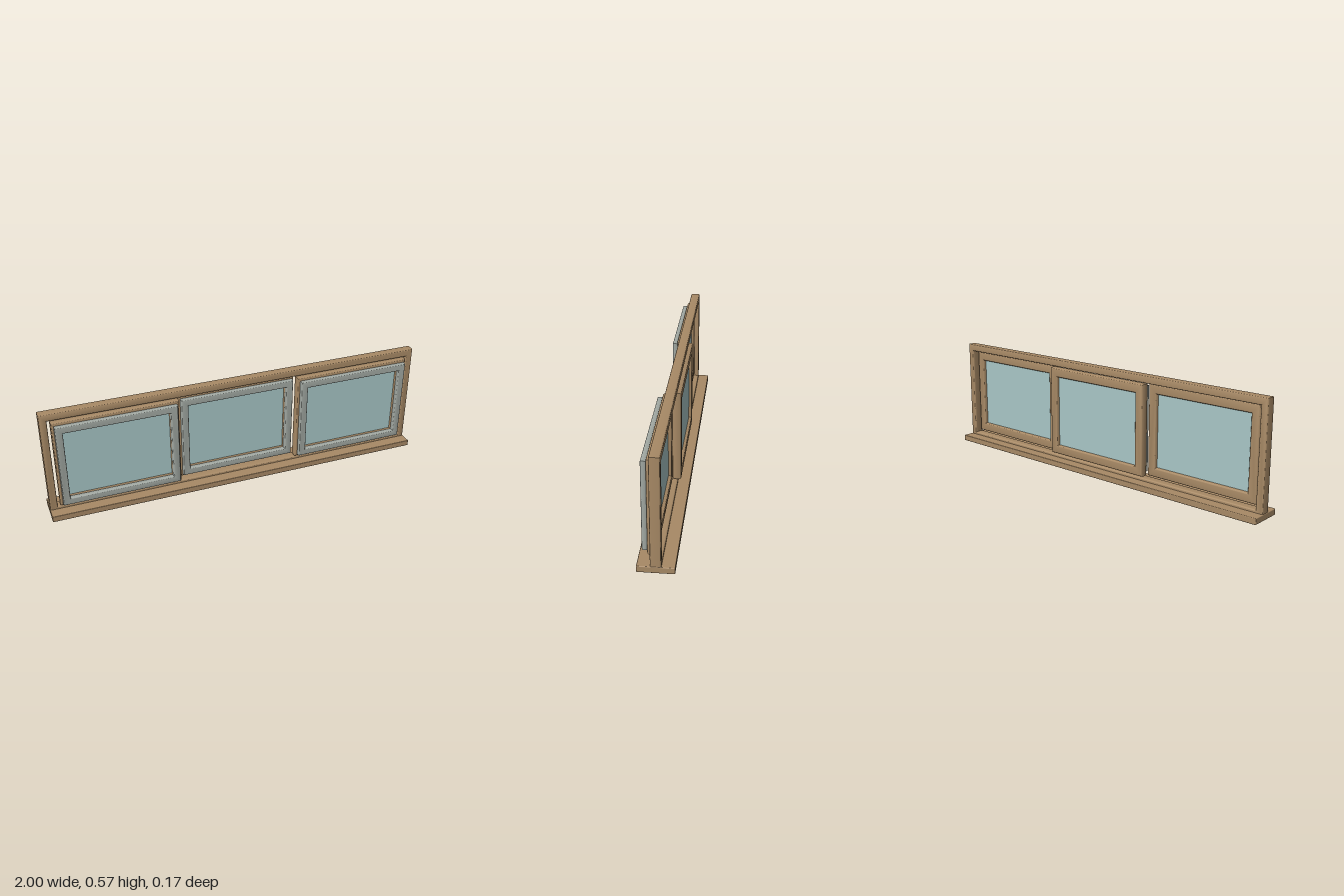
import * as THREE from 'three';
import { RoundedBoxGeometry } from 'three/addons/geometries/RoundedBoxGeometry.js';
import { toCreasedNormals } from 'three/addons/utils/BufferGeometryUtils.js';

const wood = new THREE.MeshStandardMaterial({ color: 0xa88a66 });
const trim = new THREE.MeshStandardMaterial({ color: 0xa3aaa4 });
const glass = new THREE.MeshStandardMaterial({ color: 0xa9c7c7 });

function rectangle(Path, x0, y0, x1, y1) {
  const path = new Path();
  path.moveTo(x0, y0);
  path.lineTo(x1, y0);
  path.lineTo(x1, y1);
  path.lineTo(x0, y1);
  path.closePath();
  return path;
}

// Rectangular ring with rounded edges, spanning z0..z1
function ring(name, material, halfWidth, y0, y1, bar, z0, z1, radius) {
  const shape = rectangle(THREE.Shape, -halfWidth, y0, halfWidth, y1);
  shape.holes.push(rectangle(THREE.Path, -halfWidth + bar, y0 + bar, halfWidth - bar, y1 - bar));
  const geometry = new THREE.ExtrudeGeometry(shape, {
    depth: z1 - z0 - 2 * radius,
    bevelThickness: radius,
    bevelSize: radius,
    bevelOffset: -radius,
    bevelSegments: 4,
  });
  geometry.translate(0, 0, z0 + radius);
  const mesh = new THREE.Mesh(toCreasedNormals(geometry, 0.6), material);
  mesh.name = name;
  return mesh;
}

// One sliding panel: timber sash, facing trim and pane
function createSash(name, x, z) {
  const sash = new THREE.Group();
  sash.name = name;
  sash.add(ring('sashFrame', wood, 0.314, 0.058, 0.53, 0.048, -0.022, 0.022, 0.009));
  sash.add(ring('sashTrim', trim, 0.302, 0.072, 0.516, 0.037, 0.02, 0.047, 0.006));
  const pane = new THREE.Mesh(new THREE.BoxGeometry(0.545, 0.39, 0.012), glass);
  pane.name = 'pane';
  pane.position.y = 0.294;
  sash.add(pane);
  sash.position.set(x, 0, z);
  return sash;
}

export function createModel() {
  const model = new THREE.Group();
  model.name = 'slidingWindow';

  // Sill and outer frame
  const sill = new THREE.Mesh(new RoundedBoxGeometry(2, 0.032, 0.17, 3, 0.004), wood);
  sill.name = 'sill';
  sill.position.y = 0.016;
  model.add(sill);
  model.add(ring('outerFrame', wood, 0.998, 0.008, 0.572, 0.038, -0.025, 0.025, 0.007));

  // Outer sashes run on the front track, the middle one on the back track
  model.add(createSash('rightSash', -0.633, 0.021));
  model.add(createSash('middleSash', 0, -0.021));
  model.add(createSash('leftSash', 0.633, 0.021));

  return model;
}
